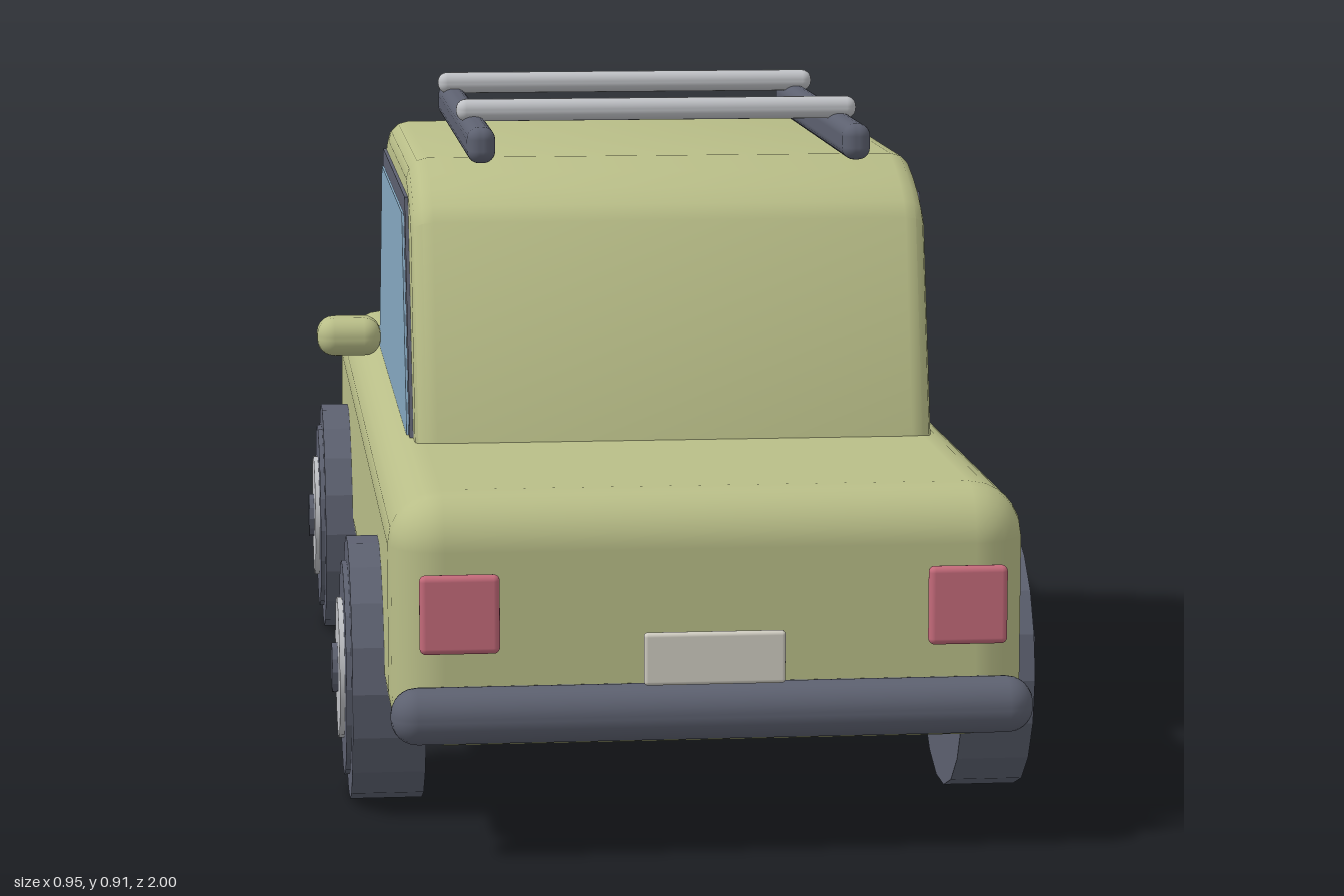
import * as THREE from 'three';
import { toCreasedNormals } from 'three/addons/utils/BufferGeometryUtils.js';
import { RoundedBoxGeometry } from 'three/addons/geometries/RoundedBoxGeometry.js';

export function createModel() {
  const car = new THREE.Group();
  car.name = 'car';
  const material = (name, color) => {
    const m = new THREE.MeshStandardMaterial({ color });
    m.name = name;
    return m;
  };
  const paint = material('olive paint', 0xb9be88);
  const dark = material('dark trim', 0x5d6170);
  const glass = material('window glass', 0x86a9c2);
  const silver = material('silver', 0xc0c2c6);
  const red = material('tail light red', 0xc46a7a);
  const cream = material('headlight cream', 0xc6ba98);
  const plateColor = material('licence plate', 0xcfccc1);

  const add = (name, geometry, mat, x = 0, y = 0, z = 0, parent = car) => {
    const mesh = new THREE.Mesh(geometry, mat);
    mesh.name = name;
    mesh.position.set(x, y, z);
    parent.add(mesh);
    return mesh;
  };
  const rounded = (name, mat, w, h, d, r, x, y, z) =>
    add(name, new RoundedBoxGeometry(w, h, d, 3, r), mat, x, y, z);
  // Thin flat panel cut from a polygon
  const panel = (points, depth) => new THREE.ExtrudeGeometry(
    new THREE.Shape(points.map(([a, b]) => new THREE.Vector2(a, b))), { depth, bevelEnabled: false });

  // Lower body
  rounded('body', paint, 0.825, 0.335, 1.878, 0.07, 0, 0.3025, 0.003);

  // Cabin: side profile (z, y) extruded across the width with rounded edges
  const profile = new THREE.Shape();
  profile.moveTo(-0.57, 0.40);
  profile.lineTo(0.527, 0.40);
  profile.lineTo(0.437, 0.765);
  profile.quadraticCurveTo(0.41, 0.808, 0.29, 0.84);
  profile.lineTo(-0.27, 0.84);
  profile.quadraticCurveTo(-0.36, 0.835, -0.394, 0.785);
  profile.closePath();
  const cabin = new THREE.ExtrudeGeometry(profile, {
    depth: 0.654, bevelEnabled: true, bevelThickness: 0.03, bevelSize: 0.03,
    bevelOffset: -0.03, bevelSegments: 3, curveSegments: 4,
  });
  cabin.translate(0, 0, -0.327);
  cabin.rotateY(-Math.PI / 2);
  add('cabin', toCreasedNormals(cabin, 0.6), paint);

  // Side windows: dark surround with glass just proud of it
  const sidePanel = (name, mat, points, depth, x) => {
    const g = panel(points, depth);
    g.translate(0, 0, -depth / 2);
    g.rotateY(-Math.PI / 2);
    add(name, g, mat, x);
  };
  for (const side of [-1, 1]) {
    sidePanel('sideWindowFrame', dark,
      [[0.446, 0.45], [0.34, 0.79], [-0.356, 0.79], [-0.518, 0.45]], 0.008, side * 0.358);
    sidePanel('sideWindowGlass', glass,
      [[0.416, 0.45], [0.313, 0.765], [-0.335, 0.765], [-0.492, 0.45]], 0.008, side * 0.361);
  }

  // Windscreen: panels lying on the sloped face, local y running up the slope
  const screen = new THREE.Group();
  screen.name = 'windscreen';
  const up = new THREE.Vector3(0, 0.315, 0.144).normalize();
  const out = new THREE.Vector3(0, 0.144, -0.315).normalize();
  screen.setRotationFromMatrix(new THREE.Matrix4().makeBasis(new THREE.Vector3(-1, 0, 0), up, out));
  screen.position.set(0, 0.47, -0.538);
  car.add(screen);
  add('windscreenFrame', panel([[-0.325, -0.02], [0.325, -0.02], [0.298, 0.335], [-0.298, 0.335]], 0.009),
    dark, 0, 0, 0.003, screen);
  add('windscreenGlass', panel([[-0.305, -0.02], [0.305, -0.02], [0.28, 0.29], [-0.28, 0.29]], 0.009),
    glass, 0, 0, 0.009, screen);
  add('windscreenGlare', panel([[0.135, -0.02], [0.2, -0.02], [0.1, 0.235], [0.035, 0.235]], 0.006),
    silver, 0, 0, 0.015, screen);

  // Wheels: stacked faceted discs
  const disc = (radius, x0, x1, sides) => {
    const g = new THREE.CylinderGeometry(radius, radius, x1 - x0, sides);
    g.rotateZ(-Math.PI / 2);
    g.translate((x0 + x1) / 2, 0, 0);
    return toCreasedNormals(g, 0.3);
  };
  for (const side of [-1, 1]) {
    for (const z of [-0.575, 0.585]) {
      const wheel = new THREE.Group();
      wheel.name = 'wheel';
      wheel.position.set(0, 0.178, z);
      wheel.rotation.y = side < 0 ? Math.PI : 0;
      car.add(wheel);
      add('tyre', disc(0.178, 0.358, 0.455, 18), dark, 0, 0, 0, wheel);
      add('tyreSidewall', disc(0.145, 0.45, 0.462, 18), dark, 0, 0, 0, wheel);
      add('hubcap', disc(0.095, 0.45, 0.469, 24), silver, 0, 0, 0, wheel);
      add('hubCentre', disc(0.034, 0.46, 0.477, 12), dark, 0, 0, 0, wheel);
    }
  }

  // Bumpers
  rounded('rearBumper', dark, 0.828, 0.072, 0.075, 0.034, 0, 0.193, 0.961);
  rounded('frontBumper', dark, 0.845, 0.084, 0.085, 0.038, 0, 0.2, -0.957);

  // Mirrors, lights and roof rails, mirrored left and right
  for (const side of [-1, 1]) {
    rounded('mirror', paint, 0.1, 0.06, 0.086, 0.027, side * 0.414, 0.485, -0.461);
    rounded('tailLight', red, 0.102, 0.102, 0.018, 0.008, side * 0.326, 0.327, 0.975);
    rounded('headlightBezel', dark, 0.184, 0.12, 0.034, 0.012, side * 0.293, 0.318, -0.965);
    rounded('headlight', cream, 0.14, 0.082, 0.024, 0.008, side * 0.293, 0.318, -0.984);
    rounded('roofRail', dark, 0.039, 0.05, 0.746, 0.017, side * 0.26, 0.869, 0.06);
  }

  // Rear plate and front grille
  rounded('licencePlate', plateColor, 0.182, 0.068, 0.014, 0.005, 0, 0.264, 0.973);
  rounded('grille', dark, 0.328, 0.125, 0.034, 0.012, 0, 0.313, -0.965);
  for (const y of [0.293, 0.335]) {
    rounded('grilleBar', silver, 0.285, 0.011, 0.012, 0.004, 0, y, -0.982);
  }

  // Roof rack crossbars
  for (const z of [-0.221, 0.246]) {
    rounded('rackCrossbar', silver, 0.568, 0.031, 0.034, 0.014, 0, 0.902, z);
  }
  return car;
}
